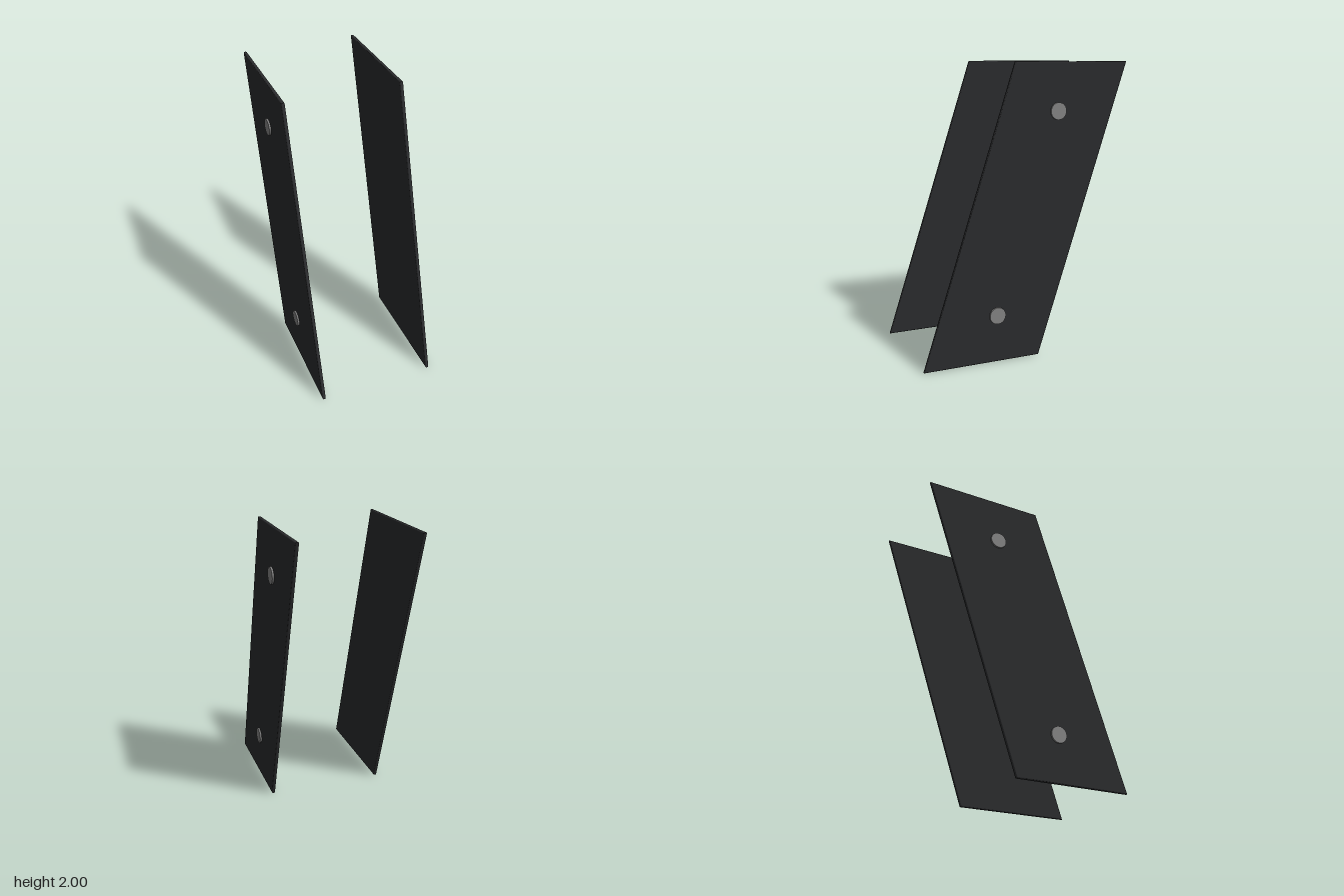
import * as THREE from 'three';

const PANEL_X = 0.403;      // centre of each panel's thickness
const THICKNESS = 0.024;
const BEVEL = 0.008;

// Slanted parallelogram plate with rounded edges, drawn in (z, y)
function panelGeometry() {
  const shape = new THREE.Shape([
    [-0.09, 0], [0.74, 0], [0.09, 2], [-0.74, 2],
  ].map(([z, y]) => new THREE.Vector2(z, y)));
  const geometry = new THREE.ExtrudeGeometry(shape, {
    depth: THICKNESS - 2 * BEVEL,
    bevelEnabled: true,
    bevelThickness: BEVEL,
    bevelSize: BEVEL,
    bevelOffset: -BEVEL,
    bevelSegments: 3,
  });
  geometry.translate(0, 0, BEVEL - THICKNESS / 2);
  geometry.rotateY(-Math.PI / 2);
  return geometry;
}

export function createModel() {
  const model = new THREE.Group();
  model.name = 'sidePanels';

  const panelMaterial = new THREE.MeshStandardMaterial({ color: 0x2b2c2e });
  const studMaterial = new THREE.MeshStandardMaterial({ color: 0x858585 });

  const panel = panelGeometry();
  // Short round stud, half sunk into the panel's outer face
  const stud = new THREE.CylinderGeometry(0.057, 0.057, 0.024, 32).rotateZ(-Math.PI / 2);

  for (const [side, label] of [[1, 'left'], [-1, 'right']]) {
    const group = new THREE.Group();
    group.name = `${label}Side`;

    const plate = new THREE.Mesh(panel, panelMaterial);
    plate.name = `${label}Panel`;
    plate.position.x = side * PANEL_X;
    group.add(plate);

    for (const [z, y, place] of [[-0.22, 1.677, 'Upper'], [0.22, 0.325, 'Lower']]) {
      const disc = new THREE.Mesh(stud, studMaterial);
      disc.name = `${label}${place}Stud`;
      disc.position.set(side * (PANEL_X + 0.012), y, z);
      group.add(disc);
    }
    model.add(group);
  }
  return model;
}
